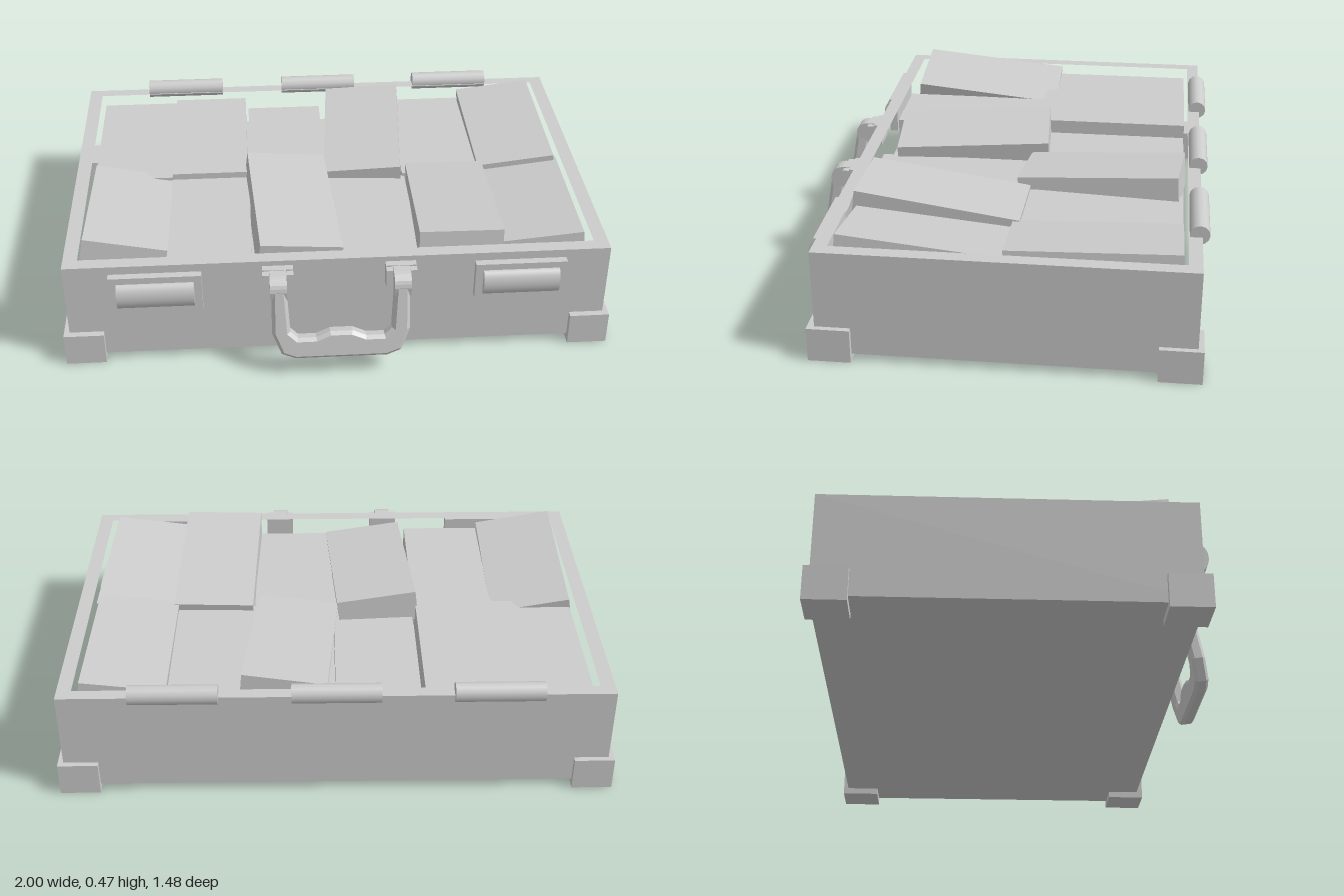
import * as THREE from 'three';

const grey = new THREE.MeshStandardMaterial({ color: 0xcccccc });
grey.name = 'plain grey';

function add(parent, name, geometry, x = 0, y = 0, z = 0) {
  const mesh = new THREE.Mesh(geometry, grey);
  mesh.name = name;
  mesh.position.set(x, y, z);
  parent.add(mesh);
  return mesh;
}

// Box given by its limits on each axis
function block(parent, name, [x0, x1], [y0, y1], [z0, z1]) {
  return add(parent, name, new THREE.BoxGeometry(x1 - x0, y1 - y0, z1 - z0),
    (x0 + x1) / 2, (y0 + y1) / 2, (z0 + z1) / 2);
}

function rectangle(Type, x0, x1, z0, z1) {
  return new Type([[x0, z0], [x1, z0], [x1, z1], [x0, z1]].map(([x, z]) => new THREE.Vector2(x, -z)));
}

// Bundle placed by the centre of its top; rise = slope towards +x, lift = slope towards +z
function bundle(parent, x, y, z, { w = 0.305, l = 0.6, yaw = 0, rise = 0, lift = 0 } = {}) {
  const geo = new THREE.BoxGeometry(w, 0.12, l);
  geo.translate(0, -0.06, 0);
  const mesh = add(parent, 'bundle', geo, x, y, z);
  mesh.rotation.set(-Math.atan(lift), yaw, Math.atan(rise), 'YXZ');
}

export function createModel() {
  const model = new THREE.Group();
  model.name = 'openCase';

  // Case walls and floor
  const rim = rectangle(THREE.Shape, -0.98, 0.98, -0.715, 0.585);
  rim.holes.push(rectangle(THREE.Path, -0.928, 0.928, -0.668, 0.535));
  const walls = new THREE.ExtrudeGeometry(rim, { depth: 0.385, bevelEnabled: false });
  walls.rotateX(-Math.PI / 2);
  add(model, 'caseWalls', walls, 0, 0.025, 0);
  block(model, 'caseFloor', [-0.93, 0.93], [0.025, 0.07], [-0.67, 0.537]);

  // Corner guards
  for (const side of [-1, 1]) {
    for (const z of [-0.66, 0.535]) {
      add(model, 'cornerGuard', new THREE.BoxGeometry(0.145, 0.125, 0.15), side * 0.9275, 0.0625, z);
    }
  }

  // Hinge barrels along the back edge
  for (const x of [-0.57, 0, 0.57]) {
    const barrel = new THREE.CylinderGeometry(0.035, 0.035, 0.315, 12);
    barrel.rotateZ(Math.PI / 2);
    add(model, 'hinge', barrel, x, 0.418, -0.706);
  }

  // Contents: hidden lower layer, then the loose top layer
  const contents = new THREE.Group();
  contents.name = 'contents';
  model.add(contents);
  for (let i = 0; i < 6; i++) {
    for (const z of [-0.355, 0.236]) {
      block(contents, 'lowerBundle', [-0.915 + i * 0.305, -0.61 + i * 0.305], [0.07, 0.27], [z - 0.298, z + 0.294]);
    }
  }
  bundle(contents, -0.762, 0.37, -0.355);
  bundle(contents, -0.463, 0.385, -0.355, { w: 0.295 });
  bundle(contents, -0.152, 0.335, -0.353);
  bundle(contents, 0.159, 0.407, -0.345, { yaw: -0.08, rise: 0.09, lift: -0.08 });
  bundle(contents, 0.45, 0.355, -0.353);
  bundle(contents, 0.752, 0.405, -0.353, { rise: 0.12, lift: -0.03 });
  bundle(contents, -0.76, 0.408, 0.195, { rise: -0.19, lift: 0.1 });
  bundle(contents, -0.462, 0.36, 0.236);
  bundle(contents, -0.145, 0.413, 0.187, { yaw: 0.06, rise: -0.115, lift: -0.05 });
  bundle(contents, 0.155, 0.34, 0.236);
  bundle(contents, 0.457, 0.42, 0.215, { yaw: -0.028, rise: 0.01, lift: 0.13 });
  bundle(contents, 0.755, 0.396, 0.215, { yaw: -0.04, rise: 0.12, lift: 0.08 });

  for (const side of [-1, 1]) {
    // Latch: base plate with a rounded clasp
    const latch = new THREE.Group();
    latch.name = 'latch';
    latch.position.set(side * 0.655, 0, 0);
    model.add(latch);
    block(latch, 'latchPlate', [-0.165, 0.165], [0.232, 0.378], [0.58, 0.613]);
    const clasp = new THREE.CylinderGeometry(0.05, 0.05, 0.275, 16, 1, false, -Math.PI / 2, Math.PI);
    clasp.rotateZ(Math.PI / 2);
    clasp.scale(1, 1, 0.6);
    add(latch, 'latchClasp', clasp, 0, 0.303, 0.612);

    // Handle mount: plate, cheeks and curved hook
    const mount = new THREE.Group();
    mount.name = 'handleMount';
    mount.position.set(side * 0.22, 0, 0);
    model.add(mount);
    block(mount, 'mountPlate', [-0.055, 0.055], [0.305, 0.39], [0.58, 0.612]);
    for (const s of [-1, 1]) {
      block(mount, 'mountCheek', [s * 0.043 - 0.012, s * 0.043 + 0.012], [0.315, 0.385], [0.61, 0.638]);
    }
    const hook = new THREE.Shape();
    hook.moveTo(0.605, 0.388);
    hook.lineTo(0.645, 0.388);
    hook.quadraticCurveTo(0.685, 0.385, 0.69, 0.345);
    hook.lineTo(0.685, 0.31);
    hook.lineTo(0.645, 0.305);
    hook.quadraticCurveTo(0.645, 0.345, 0.605, 0.345);
    const hookGeo = new THREE.ExtrudeGeometry(hook, { depth: 0.06, bevelEnabled: false, curveSegments: 5 });
    hookGeo.rotateY(-Math.PI / 2);
    add(mount, 'mountHook', hookGeo, 0.03, 0, 0);
  }

  // Hanging handle, mirrored outline with a thicker grip
  const half = [[0.192, -0.02], [0.245, -0.02], [0.247, -0.2], [0.215, -0.285], [0.165, -0.305]];
  const inner = [[0.04, -0.2], [0.09, -0.222], [0.155, -0.222], [0.182, -0.195]];
  const right = [...inner, ...half];
  const left = right.map(([x, y]) => [-x, y]).reverse();
  const outline = new THREE.Shape([...right, ...left].map(([x, y]) => new THREE.Vector2(x, y)));
  const handleGeo = new THREE.ExtrudeGeometry(outline, {
    depth: 0.031, bevelThickness: 0.012, bevelSize: 0.012, bevelOffset: -0.012, bevelSegments: 1,
  });
  handleGeo.translate(0, 0, -0.0155);
  const handle = add(model, 'handle', handleGeo, 0, 0.375, 0.656);
  handle.rotation.x = -0.18;

  return model;
}
